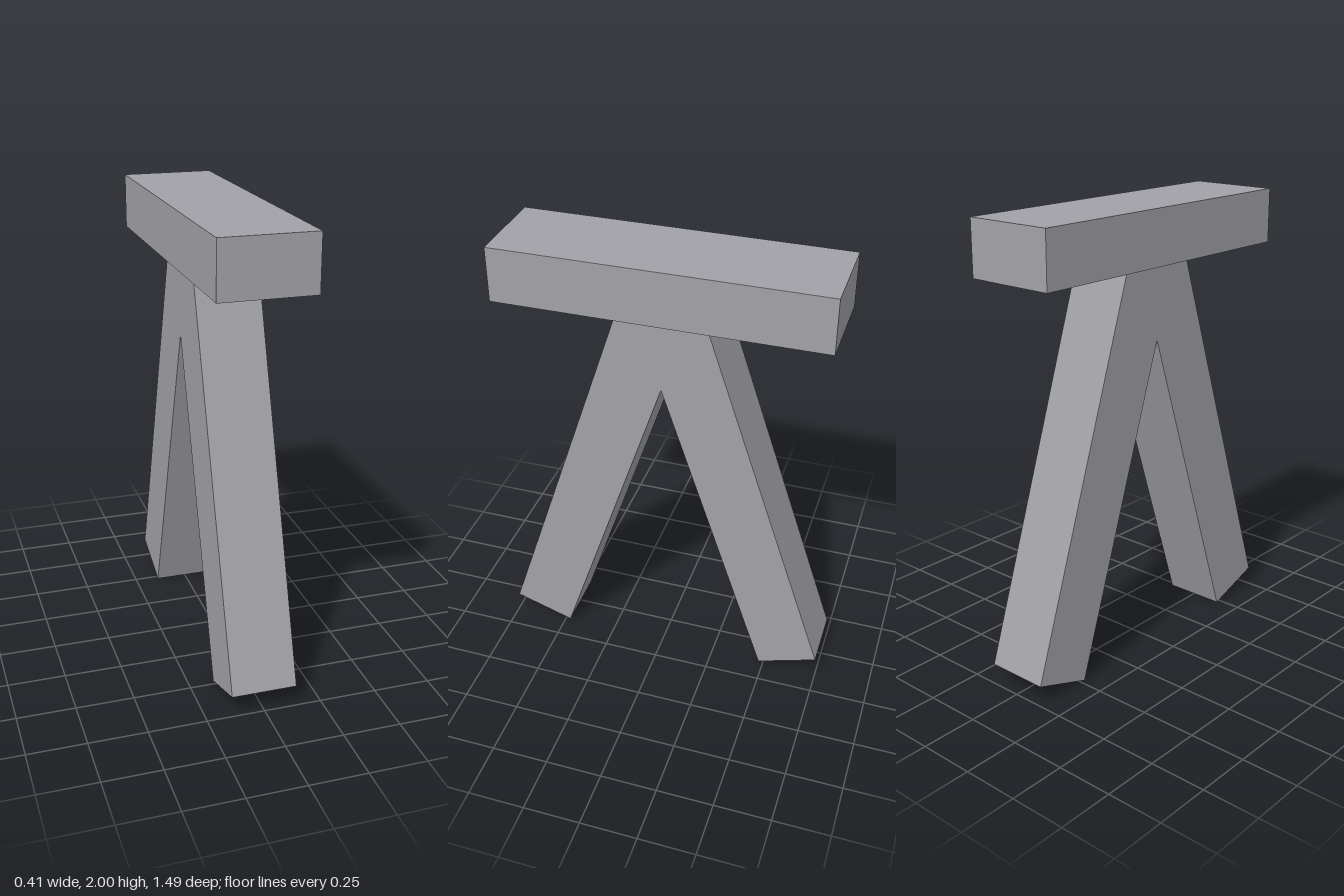
import * as THREE from 'three';

export function createModel() {
  const group = new THREE.Group();
  group.name = 'trestle';
  const grey = new THREE.MeshStandardMaterial({ color: 0xa1a1a7 });
  grey.name = 'grey';

  // Top beam running front to back
  const beam = new THREE.Mesh(new THREE.BoxGeometry(0.405, 0.24, 1.424), grey);
  beam.name = 'topBeam';
  beam.position.y = 1.88;
  group.add(beam);

  // Splayed pair of legs, mitred together and cut flat under the beam
  const half = [[0.19, 1.76], [0.745, 0.09], [0.478, 0]];
  const mirrored = half.map(([z, y]) => [-z, y]).reverse();
  const profile = [...half, [0, 1.43], ...mirrored].map(([z, y]) => new THREE.Vector2(z, y));
  const width = 0.282;
  const legGeometry = new THREE.ExtrudeGeometry(new THREE.Shape(profile), {
    depth: width, bevelEnabled: false,
  });
  legGeometry.translate(0, 0, -width / 2);
  legGeometry.rotateY(-Math.PI / 2);
  const legs = new THREE.Mesh(legGeometry, grey);
  legs.name = 'splayedLegs';
  group.add(legs);

  return group;
}
